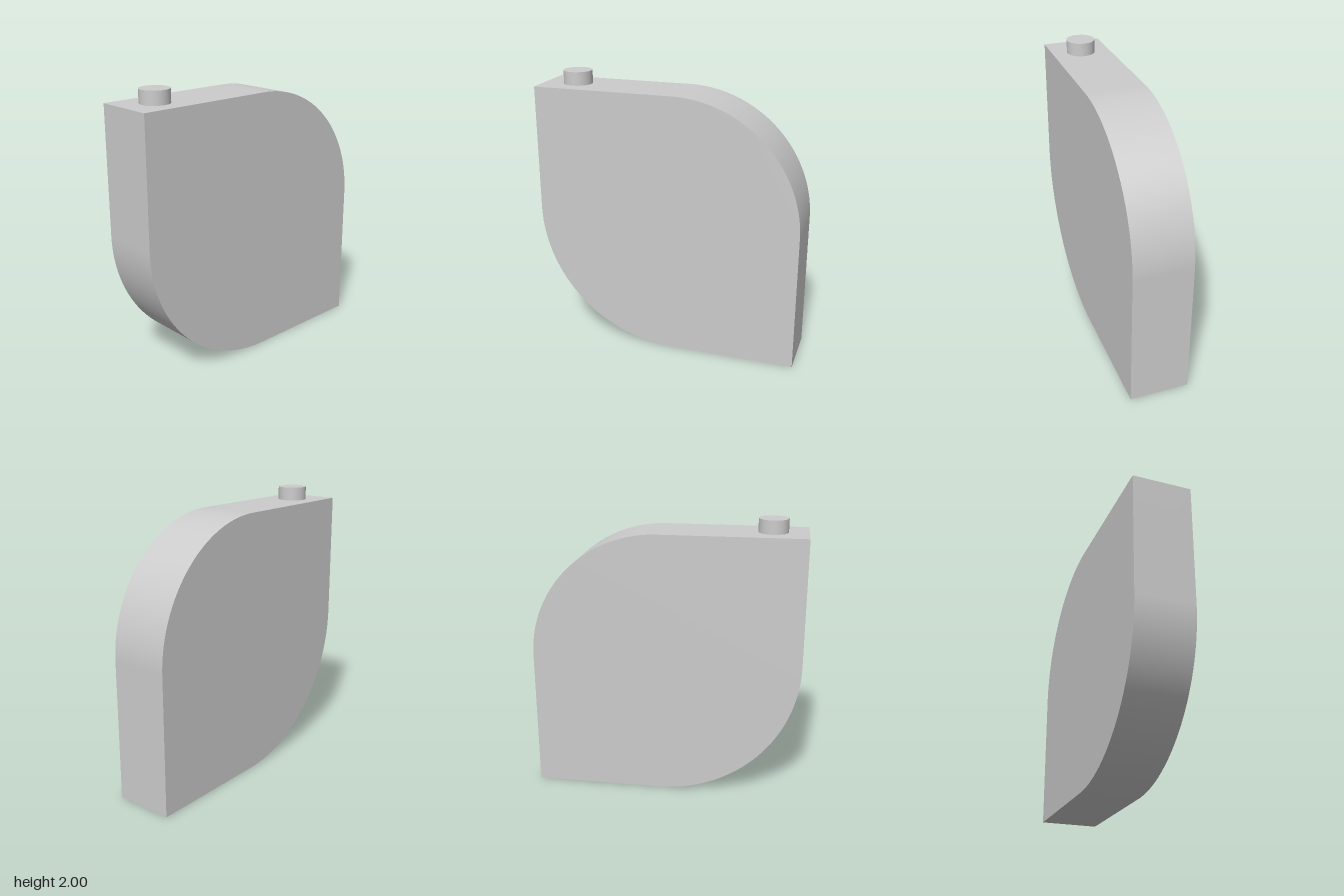
import * as THREE from 'three';
import { toCreasedNormals } from 'three/addons/utils/BufferGeometryUtils.js';

const HALF = 0.96, TOP = 1.905, DEPTH = 0.426;
const UPPER_R = 0.91, LOWER_R = 1.01;

export function createModel() {
  const group = new THREE.Group();
  const material = new THREE.MeshStandardMaterial({ color: 0xcccccc });

  // Leaf-shaped slab: two opposite corners square, the other two rounded
  const outline = new THREE.Shape();
  outline.moveTo(HALF, 0);
  outline.lineTo(HALF, TOP - UPPER_R);
  outline.absarc(HALF - UPPER_R, TOP - UPPER_R, UPPER_R, 0, Math.PI / 2);
  outline.lineTo(-HALF, TOP);
  outline.lineTo(-HALF, LOWER_R);
  outline.absarc(-HALF + LOWER_R, LOWER_R, LOWER_R, Math.PI, Math.PI * 1.5);
  outline.closePath();
  const slab = new THREE.ExtrudeGeometry(outline, { depth: DEPTH, bevelEnabled: false, curveSegments: 32 });
  slab.translate(0, 0, -DEPTH / 2);
  const body = new THREE.Mesh(toCreasedNormals(slab, Math.PI / 6), material);
  body.name = 'body';
  group.add(body);

  // Short round peg on the top edge
  const peg = new THREE.Mesh(new THREE.CylinderGeometry(0.103, 0.103, 2 - TOP, 48), material);
  peg.name = 'topPeg';
  peg.position.set(-0.717, (2 + TOP) / 2, 0);
  group.add(peg);

  return group;
}
